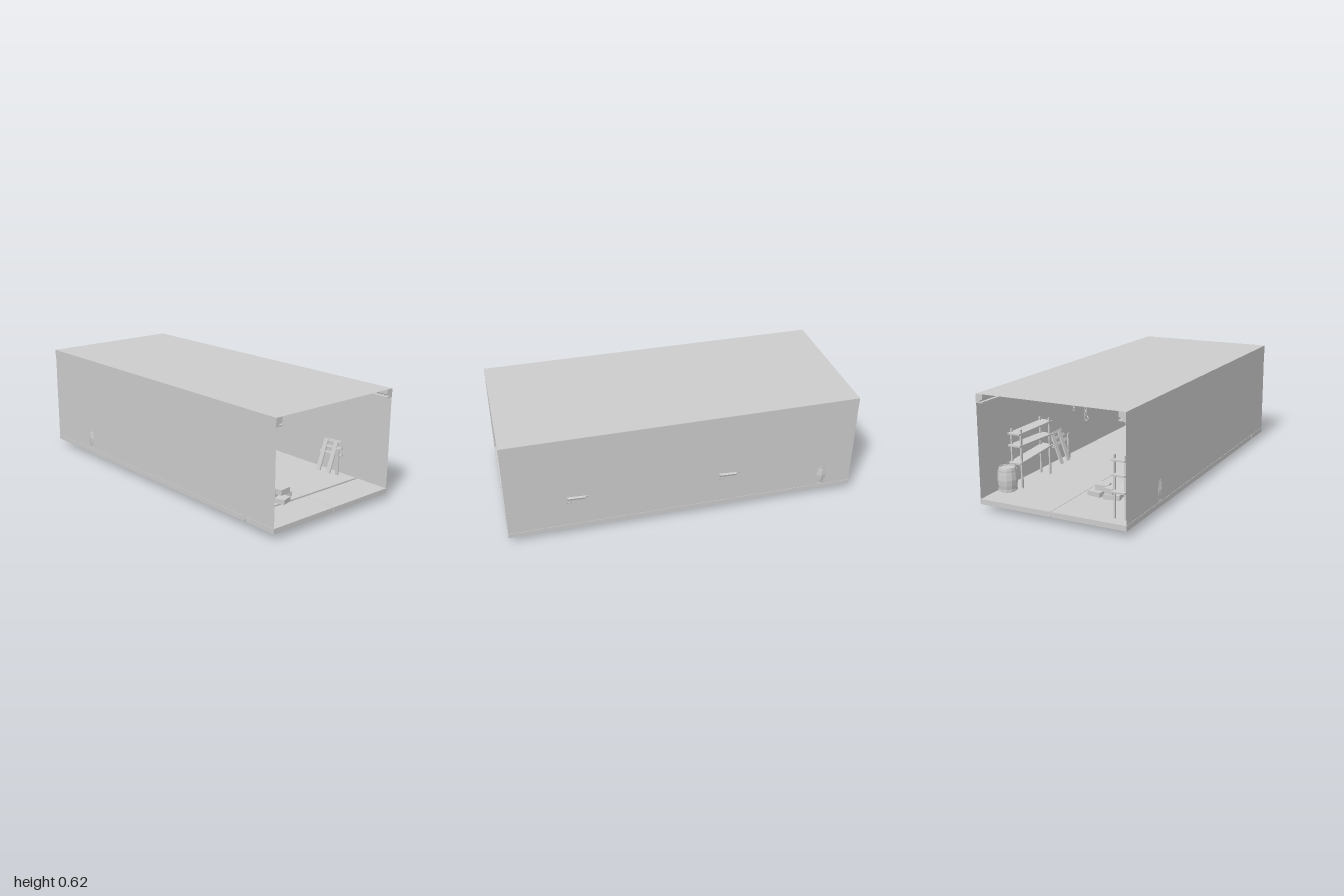
import * as THREE from 'three';

const mat = new THREE.MeshStandardMaterial({ color: 0xcccccc, flatShading: true, side: THREE.DoubleSide });
const FLOOR = 0.063, TOP = 0.625, HALF = 0.425;

function add(parent, name, geo, x = 0, y = 0, z = 0, rx = 0, ry = 0, rz = 0) {
  const m = new THREE.Mesh(geo, mat);
  m.name = name;
  m.position.set(x, y, z);
  m.rotation.set(rx, ry, rz);
  parent.add(m);
  return m;
}
const box = (w, h, d) => new THREE.BoxGeometry(w, h, d);

function group(parent, name, x = 0, y = 0, z = 0, ry = 0) {
  const g = new THREE.Group();
  g.name = name;
  g.position.set(x, y, z);
  g.rotation.y = ry;
  parent.add(g);
  return g;
}

const shapeOf = pts => new THREE.Shape(pts.map(p => new THREE.Vector2(...p)));

// Staved barrel with two hoops
function barrel(parent, x, z) {
  const g = group(parent, 'barrel', x, FLOOR, z);
  const profile = [[0, 0], [0.045, 0], [0.052, 0.035], [0.055, 0.066], [0.052, 0.098], [0.045, 0.133], [0.041, 0.133], [0.041, 0.126], [0, 0.126]];
  add(g, 'barrelStaves', new THREE.LatheGeometry(profile.map(p => new THREE.Vector2(...p)), 12));
  for (const y of [0.012, 0.115]) {
    add(g, 'barrelHoop', new THREE.CylinderGeometry(0.0525, 0.0525, 0.012, 12, 1, true), 0, y, 0);
  }
}

// Rickety shelf: four posts and three sagging boards
function shelf(parent, x, z, ry, tilts) {
  const g = group(parent, 'shelf', x, FLOOR, z, ry);
  for (const px of [-0.14, 0.14]) for (const pz of [-0.03, 0.03]) {
    add(g, 'shelfPost', box(0.012, 0.327, 0.009), px, 0.1635, pz);
  }
  [0.152, 0.232, 0.303].forEach((y, i) => {
    add(g, 'shelfBoard', box(0.33, 0.009, 0.074), 0, y, 0, 0, 0, tilts[i]);
  });
}

// Frame leaning on the back wall: two legs, cross boards and a loose plank
function leaningFrame(parent, x) {
  const g = group(parent, 'leaningFrame', x, FLOOR, -0.358);
  const lean = -Math.atan2(0.065, 0.18);
  const slope = new THREE.Group();
  slope.name = 'frameSlope';
  slope.rotation.x = lean;
  g.add(slope);
  for (const px of [-0.045, 0.03]) add(slope, 'frameLeg', box(0.028, 0.19, 0.009), px, 0.097, 0);
  [[0.12, 0.16], [0.155, 0.13], [0.19, 0.1]].forEach(([y, w]) => {
    add(slope, 'frameBoard', box(w, 0.014, 0.014), 0.01, y, -0.006, 0, 0, 0.06);
  });
  add(g, 'loosePlank', box(0.022, 0.155, 0.008), 0.075, 0.0775, -0.025);
}

// Hanging chain of alternating links
function chain(parent, x, links, ring) {
  const g = group(parent, 'chain', x, 0.415, -0.414);
  const link = new THREE.TorusGeometry(0.0085, 0.0028, 5, 8);
  link.scale(0.8, 1.25, 1);
  for (let i = 0; i < links; i++) {
    add(g, 'chainLink', link, 0, -i * 0.0155, (i % 3) * 0.003, 0, i % 2 ? Math.PI / 2 : 0.3, 0);
  }
  if (ring) add(g, 'shackle', new THREE.TorusGeometry(0.016, 0.003, 5, 14), 0, -links * 0.0155 - 0.012, 0.008, 0, 1.3, 0);
}

// Small heap of boxes
function boxPile(parent, x, ry) {
  const g = group(parent, 'boxPile', x, FLOOR, 0.135, ry);
  const items = [
    [0, 0.013, 0.05, 0.07, 0.026, 0.09, 0.15],
    [0.01, 0.013, -0.05, 0.07, 0.026, 0.08, -0.15],
    [0.075, 0.013, 0.01, 0.06, 0.026, 0.07, 0.3],
    [0, 0.043, 0.04, 0.06, 0.03, 0.055, -0.2],
    [0.03, 0.044, -0.025, 0.06, 0.031, 0.07, 0.12],
  ];
  for (const [px, py, pz, w, h, d, r] of items) add(g, 'smallBox', box(w, h, d), px, py, pz, 0, r, 0);
}

// L-shaped block under the floor with one clipped corner
function underBlock(parent, x) {
  const g = group(parent, 'underBlock', x, 0.036, 0);
  const shape = shapeOf([[0, 0.21], [0, -0.125], [-0.08, -0.21], [-0.245, -0.21], [-0.37, -0.14], [-0.37, 0], [-0.19, 0], [-0.19, 0.21]]);
  const geo = new THREE.ExtrudeGeometry(shape, { depth: 0.026, bevelEnabled: false });
  add(g, 'blockBody', geo, 0, 0, 0, Math.PI / 2, 0, 0);
  add(g, 'blockStud', box(0.02, 0.012, 0.025), -0.35, -0.03, -0.12);
}

// Roof-edge rail with a slotted lower lip, extruded along the length
function roofRail(parent, side) {
  const shape = shapeOf([[0.427, 0.577], [0.386, 0.577], [0.386, 0.584], [0.404, 0.584], [0.404, 0.59], [0.386, 0.598], [0.386, TOP], [0.427, TOP]]);
  const geo = new THREE.ExtrudeGeometry(shape, { depth: 2, bevelEnabled: false });
  geo.translate(0, 0, -1);
  add(parent, 'roofRail', geo, 0, 0, 0, 0, side > 0 ? -Math.PI / 2 : Math.PI / 2, 0);
}

export function createModel() {
  const model = new THREE.Group();
  model.name = 'corridorSection';

  // Thin shell, open at both ends
  add(model, 'roof', new THREE.PlaneGeometry(2, HALF * 2), 0, TOP, 0, -Math.PI / 2, 0, 0);
  for (const s of [-1, 1]) {
    add(model, s > 0 ? 'frontWall' : 'backWall', new THREE.PlaneGeometry(2, TOP - 0.045), 0, (TOP + 0.045) / 2, s * HALF, 0, s > 0 ? 0 : Math.PI, 0);
    roofRail(model, s);
  }

  // Floor panels, split by a narrow slot near one end
  const strips = [[-0.427, -0.001], [0.001, 0.285], [0.285, 0.427]];
  for (const [x0, x1] of [[-1, 0.785], [0.8, 1]]) for (const [z0, z1] of strips) {
    add(model, 'floorPanel', box(x1 - x0, 0.028, z1 - z0), (x0 + x1) / 2, 0.049, (z0 + z1) / 2);
  }

  for (const x of [-0.2, 0.66]) underBlock(model, x);

  barrel(model, -0.615, 0.379);
  barrel(model, -0.82, -0.379);
  shelf(model, -0.79, 0.356, 0, [0.07, 0.03, 0]);
  shelf(model, -0.62, -0.356, Math.PI, [-0.07, 0.03, 0]);
  for (const x of [-0.255, 0.605]) leaningFrame(model, x);
  chain(model, 0.075, 10, true);
  chain(model, -0.07, 6, false);
  boxPile(model, -0.68, 0);
  boxPile(model, 0.7, 0);
  return model;
}
